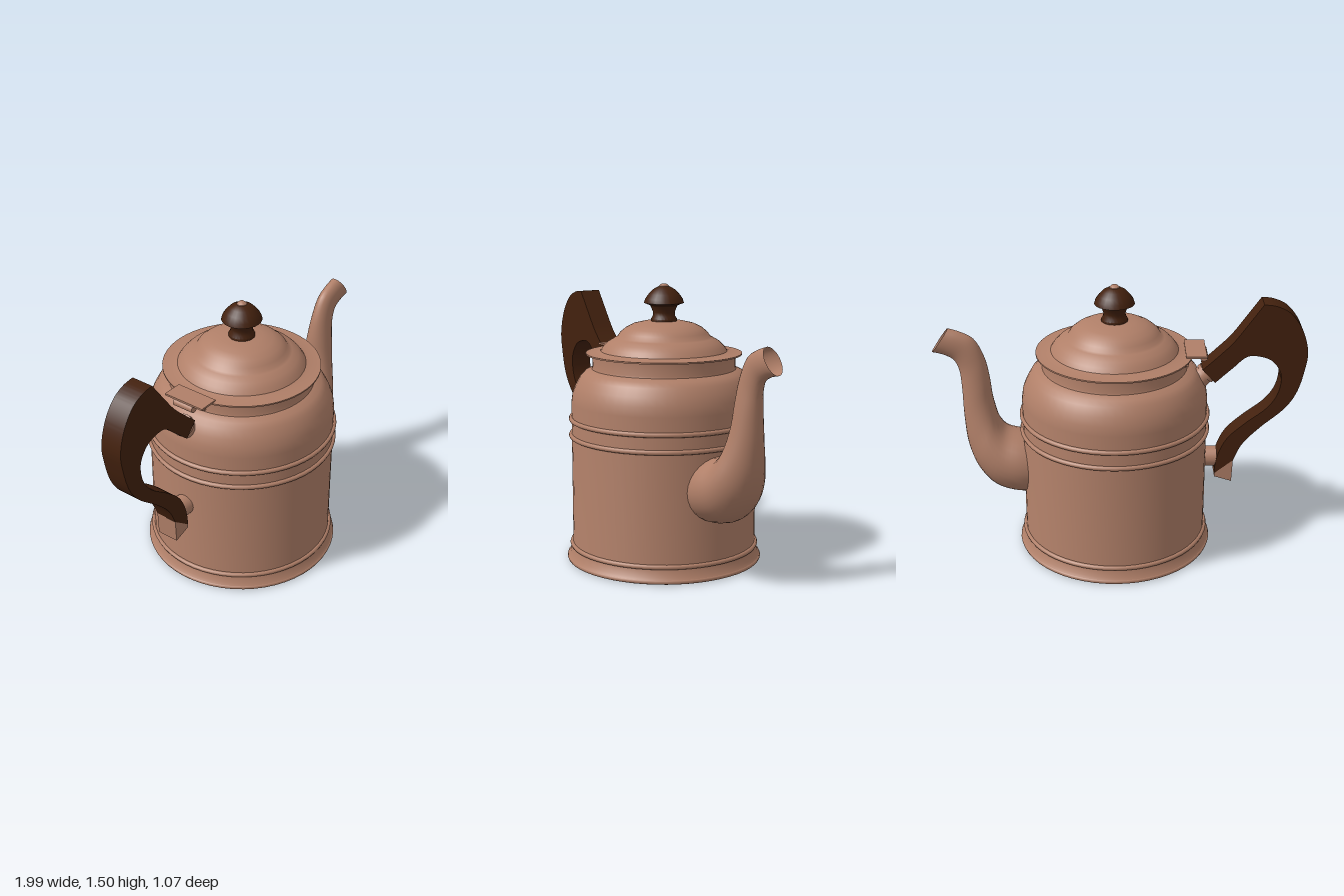
import * as THREE from 'three';
import { toCreasedNormals } from 'three/addons/utils/BufferGeometryUtils.js';

const copper = new THREE.MeshStandardMaterial({ color: 0xb07f68, side: THREE.DoubleSide });
copper.name = 'copper';
const wood = new THREE.MeshStandardMaterial({ color: 0x43210e });
wood.name = 'dark wood';

const AXIS = 0.02; // x of the pot's axis
const vec2 = (pts) => pts.map(([x, y]) => new THREE.Vector2(x, y));

export function createModel() {
  const model = new THREE.Group();
  model.name = 'teapot';

  const add = (name, geometry, material, x = 0, y = 0, z = 0) => {
    const mesh = new THREE.Mesh(geometry, material);
    mesh.name = name;
    mesh.position.set(x, y, z);
    model.add(mesh);
    return mesh;
  };
  const lathe = (name, pts, material, segments = 56) =>
    add(name, toCreasedNormals(new THREE.LatheGeometry(vec2(pts), segments), 0.6), material, AXIS);
  const plate = (name, shape, depth, material) => {
    const g = new THREE.ExtrudeGeometry(shape, { depth, bevelEnabled: false, curveSegments: 10 });
    g.translate(0, 0, -depth / 2);
    return add(name, toCreasedNormals(g, 0.6), material);
  };

  // Pot: flared foot, straight wall, rounded shoulder, neck
  lathe('body', [
    [0, 0.005], [0.525, 0.005], [0.533, 0.015], [0.525, 0.028], [0.517, 0.04], [0.505, 0.075],
    [0.5, 0.1], [0.5, 0.87], [0.493, 0.92], [0.475, 0.965], [0.45, 1.01], [0.425, 1.035],
    [0.388, 1.05], [0.385, 1.06], [0.385, 1.13],
  ], copper);

  // Raised beads around the wall
  for (const [y, r] of [[0.015, 0.52], [0.088, 0.503], [0.69, 0.503], [0.78, 0.503]]) {
    const bead = add('bead', new THREE.TorusGeometry(r, 0.013, 8, 56), copper, AXIS, y);
    bead.rotation.x = Math.PI / 2;
  }

  // Stepped lid with a thin flat rim
  lathe('lid', [
    [0.38, 1.127], [0.42, 1.127], [0.42, 1.135], [0.36, 1.139], [0.34, 1.145], [0.325, 1.168],
    [0.3, 1.193], [0.265, 1.213], [0.25, 1.22], [0.235, 1.243], [0.205, 1.268], [0.165, 1.288],
    [0.11, 1.301], [0, 1.308],
  ], copper);

  // Turned knob and its rivet
  lathe('knob', [
    [0.07, 1.3], [0.07, 1.315], [0.06, 1.33], [0.058, 1.35], [0.068, 1.375], [0.075, 1.388],
    [0.107, 1.4], [0.1, 1.422], [0.083, 1.446], [0.06, 1.47], [0.03, 1.487], [0, 1.487],
  ], wood, 24);
  lathe('knobRivet', [[0.028, 1.48], [0.026, 1.49], [0.015, 1.5], [0, 1.503]], copper, 12);

  // Spout: elliptical rings between an outer and an inner edge
  // [outer x, outer y, inner x, inner y, half width]
  const sections = [
    [0.45, 0.31, 0.44, 0.63, 0.165], [0.55, 0.31, 0.53, 0.655, 0.18],
    [0.676, 0.35, 0.607, 0.68, 0.17], [0.77, 0.455, 0.645, 0.73, 0.145],
    [0.82, 0.59, 0.665, 0.8, 0.112], [0.837, 0.75, 0.68, 0.88, 0.086],
    [0.842, 0.935, 0.69, 0.98, 0.067], [0.852, 1.03, 0.714, 1.096, 0.053],
    [0.878, 1.085, 0.767, 1.2, 0.047], [0.93, 1.115, 0.837, 1.24, 0.047],
    [0.99, 1.13, 0.9, 1.26, 0.047],
  ];
  const outerEdge = new THREE.CatmullRomCurve3(sections.map((s) => new THREE.Vector3(s[0], s[1], s[4])));
  const innerEdge = new THREE.CatmullRomCurve3(sections.map((s) => new THREE.Vector3(s[2], s[3], s[4])));
  const rings = 40, sides = 28, pos = [], idx = [];
  for (let i = 0; i <= rings; i++) {
    const a = outerEdge.getPoint(i / rings), b = innerEdge.getPoint(i / rings);
    for (let j = 0; j < sides; j++) {
      const t = (j / sides) * Math.PI * 2, k = (1 + Math.cos(t)) / 2;
      pos.push(b.x + (a.x - b.x) * k, b.y + (a.y - b.y) * k, a.z * Math.sin(t));
      if (i === rings) continue;
      const p = i * sides + j, q = i * sides + (j + 1) % sides;
      idx.push(p, q, p + sides, q, q + sides, p + sides);
    }
  }
  const spout = new THREE.BufferGeometry();
  spout.setAttribute('position', new THREE.Float32BufferAttribute(pos, 3));
  spout.setIndex(idx);
  spout.computeVertexNormals();
  add('spout', spout, copper);

  // Flat wooden handle
  const handle = new THREE.Shape();
  handle.moveTo(-0.757, 1.41);
  handle.splineThru(vec2([
    [-0.826, 1.4], [-0.9, 1.36], [-0.965, 1.27], [-1, 1.15], [-0.99, 1.04], [-0.955, 0.91],
    [-0.89, 0.81], [-0.767, 0.7], [-0.676, 0.6], [-0.63, 0.5],
  ]));
  handle.lineTo(-0.53, 0.42);
  handle.splineThru(vec2([
    [-0.532, 0.47], [-0.55, 0.55], [-0.596, 0.64], [-0.687, 0.727], [-0.794, 0.813],
    [-0.853, 0.9], [-0.868, 1], [-0.837, 1.07], [-0.783, 1.11], [-0.687, 1.12],
    [-0.607, 1.053], [-0.516, 0.968],
  ]));
  handle.lineTo(-0.447, 1.043);
  handle.splineThru(vec2([[-0.527, 1.118], [-0.607, 1.2], [-0.687, 1.31], [-0.757, 1.41]]));
  plate('handle', handle, 0.122, wood);

  // Metal cap under the handle, and the stub joining it to the wall
  plate('handleCap', new THREE.Shape(vec2([
    [-0.63, 0.5], [-0.625, 0.37], [-0.53, 0.4], [-0.53, 0.42],
  ])), 0.122, copper);
  const stub = add('lowerStub', new THREE.CylinderGeometry(0.057, 0.057, 0.09, 20), copper, -0.495, 0.498);
  stub.rotation.z = Math.PI / 2;

  // Ferrule joining the handle to the shoulder
  const ferrule = add('ferrule', new THREE.CylinderGeometry(0.05, 0.06, 0.12, 20), copper, -0.435, 0.968);
  ferrule.rotation.z = 0.8;
  const collar = add('ferruleCollar', new THREE.CylinderGeometry(0.058, 0.058, 0.02, 20), copper, -0.472, 1.002);
  collar.rotation.z = 0.8;

  // Lid hinge
  add('hingeLeaf', new THREE.BoxGeometry(0.11, 0.01, 0.24), copper, -0.41, 1.138);
  add('hingeBracket', new THREE.BoxGeometry(0.025, 0.07, 0.12), copper, -0.36, 1.095);
  add('hingeTab', new THREE.BoxGeometry(0.08, 0.01, 0.12), copper, -0.41, 1.115);
  const barrel = add('hingeBarrel', new THREE.CylinderGeometry(0.022, 0.022, 0.12, 14), copper, -0.453, 1.115);
  barrel.rotation.x = Math.PI / 2;

  return model;
}
